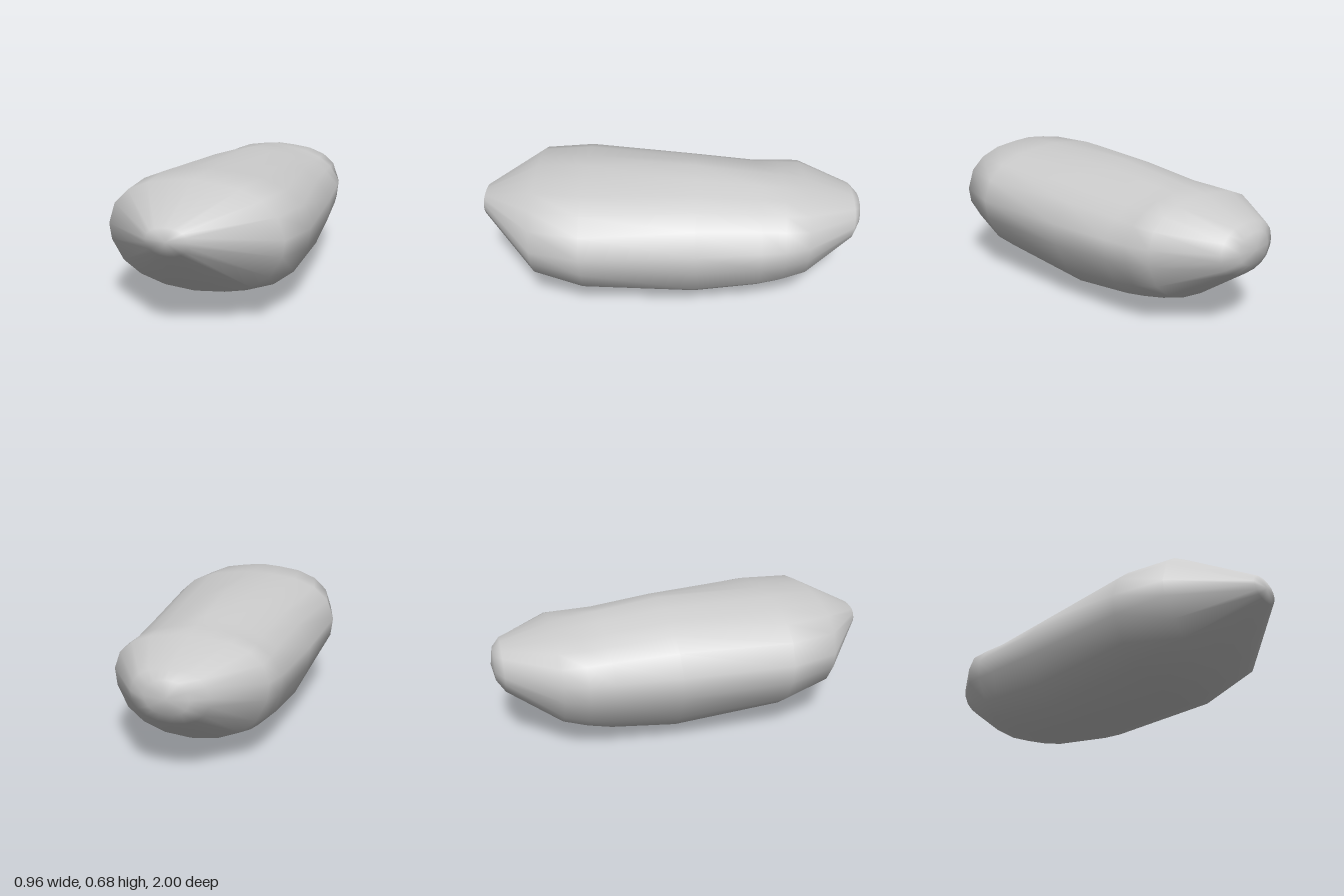
import * as THREE from 'three';

// Right half of the unit cross-section, from the top ridge to the keel
const HALF = [
  [0, 1], [0.25, 0.96], [0.52, 0.885], [0.755, 0.71], [0.92, 0.43], [1, 0],
  [0.975, -0.27], [0.84, -0.61], [0.635, -0.82], [0.345, -0.955], [0, -1],
];
// Mirrored into a full ring
const RING = [...HALF, ...HALF.slice(1, -1).reverse().map(([x, y]) => [-x, y])];
const SIDES = RING.length;

// Cross-sections from nose to tail:
// [z, half width, top y, widest y, bottom y, sag of the upper shoulders]
const SECTIONS = [
  [0.985, 0.1, 0.527, 0.47, 0.402, 0],
  [0.7, 0.43, 0.67, 0.43, 0.145, 0],
  [0.45, 0.482, 0.673, 0.42, 0.058, 0],
  [-0.12, 0.45, 0.68, 0.42, 0.003, 0.12],
  [-0.45, 0.418, 0.641, 0.42, 0.04, 0.12],
  [-0.57, 0.403, 0.626, 0.42, 0.07, 0.07],
  [-0.69, 0.37, 0.61, 0.42, 0.11, 0],
  [-0.945, 0.18, 0.536, 0.42, 0.29, 0],
  [-0.985, 0.1, 0.5, 0.42, 0.345, 0],
];
const NOSE = [0, 0.47, 1];
const TAIL = [0, 0.42, -1];

function loftBody() {
  const positions = [];
  const index = [];
  for (const [z, halfWidth, top, mid, bottom, sag] of SECTIONS) {
    for (const [x, y] of RING) {
      const height = y > 0 ? top - mid : mid - bottom;
      const shrink = 1 - sag * 2 * Math.abs(x) * Math.max(y, 0);
      positions.push(halfWidth * x * shrink, mid + height * y * shrink, z);
    }
  }
  const nose = positions.length / 3;
  const tail = nose + 1;
  positions.push(...NOSE, ...TAIL);
  const last = (SECTIONS.length - 1) * SIDES;

  for (let j = 0; j < SIDES; j++) {
    const k = (j + 1) % SIDES;
    // Rounded end caps
    index.push(nose, k, j);
    index.push(last + j, last + k, tail);
    // Skin between neighbouring sections
    for (let r = 0; r < last; r += SIDES) {
      const a = r + j, b = r + k, c = a + SIDES, d = b + SIDES;
      index.push(a, b, d, a, d, c);
    }
  }

  const geometry = new THREE.BufferGeometry();
  geometry.setAttribute('position', new THREE.Float32BufferAttribute(positions, 3));
  geometry.setIndex(index);
  geometry.computeVertexNormals();
  return geometry;
}

export function createModel() {
  const model = new THREE.Group();
  model.name = 'smoothPod';
  const body = new THREE.Mesh(loftBody(), new THREE.MeshStandardMaterial({ color: 0xcccccc }));
  body.name = 'body';
  model.add(body);
  return model;
}
